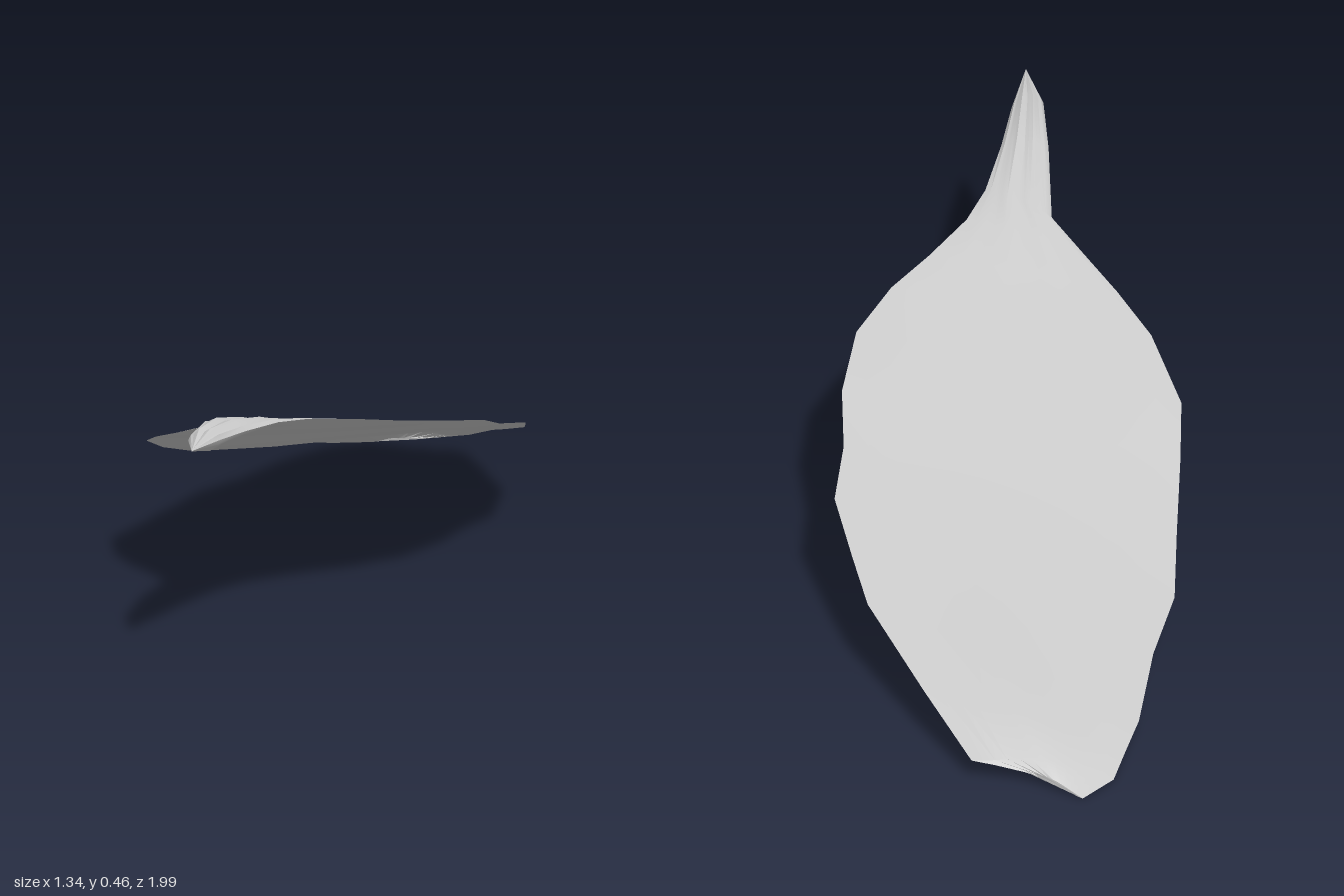
import * as THREE from 'three';
import { toCreasedNormals } from 'three/addons/utils/BufferGeometryUtils.js';

// Cross-sections from stalk to tip: [left edge x, y, z], [right edge x, y, z], thickness, midrib lift
const SECTIONS = [
  [[-0.67, 0.445, 0.99], [-0.668, 0.445, 0.99], 0.002, 0],
  [[-0.625, 0.44, 0.86], [-0.56, 0.44, 0.88], 0.05, 0],
  [[-0.53, 0.435, 0.7], [-0.46, 0.43, 0.77], 0.042, 0],
  [[-0.41, 0.395, 0.51], [-0.34, 0.417, 0.65], 0.026, 0],
  [[-0.41, 0.365, 0.4], [-0.25, 0.405, 0.585], 0.016, 0],
  [[-0.41, 0.33, 0.27], [-0.12, 0.385, 0.53], 0.01, 0],
  [[-0.4, 0.295, 0.13], [0, 0.365, 0.49], 0.008, 0],
  [[-0.34, 0.245, -0.07], [0.14, 0.34, 0.41], 0.008, 0],
  [[-0.25, 0.2, -0.2], [0.27, 0.305, 0.27], 0.008, 0],
  [[-0.12, 0.15, -0.38], [0.36, 0.265, 0.13], 0.008, 0],
  [[0, 0.11, -0.55], [0.47, 0.235, 0], 0.008, 0.003],
  [[0.14, 0.08, -0.68], [0.54, 0.195, -0.17], 0.008, 0.008],
  [[0.29, 0.045, -0.85], [0.59, 0.16, -0.3], 0.008, 0.014],
  [[0.37, 0.03, -0.92], [0.64, 0.1, -0.58], 0.008, 0.02],
  [[0.44, 0.012, -0.98], [0.67, 0.045, -0.8], 0.008, 0.022],
  [[0.53, 0.004, -1], [0.59, 0.03, -0.87], 0.006, 0.008],
];
const ACROSS = 12;

// Closed ring round one section: upper skin left to right, lower skin back again
function ring([left, right, thickness, lift]) {
  const l = new THREE.Vector3(...left), r = new THREE.Vector3(...right);
  const points = [];
  for (let j = 0; j < 2 * ACROSS; j++) {
    const upper = j <= ACROSS;
    const v = (upper ? j : 2 * ACROSS - j) / ACROSS;
    const p = l.clone().lerp(r, v);
    const arch = Math.sin(Math.PI * v);
    // the thick stalk is pleated, the blade is smooth
    const pleat = thickness > 0.012 ? 0.85 + 0.15 * Math.cos(v * Math.PI * 6) : 1;
    p.y += lift * arch * arch + (upper ? 1 : -1) * thickness / 2 * Math.sqrt(Math.max(arch, 0)) * pleat;
    points.push(p);
  }
  return points;
}

function loft(rings) {
  const n = rings[0].length;
  const positions = rings.flat().flatMap((p) => p.toArray());
  const index = [];
  for (let i = 0; i < rings.length - 1; i++) {
    for (let j = 0; j < n; j++) {
      const k = (j + 1) % n;
      const a = i * n + j, b = i * n + k, c = b + n, d = a + n;
      index.push(a, b, d, b, c, d);
    }
  }
  // close the tip
  const last = (rings.length - 1) * n;
  for (let j = 1; j < n - 1; j++) index.push(last, last + j, last + j + 1);
  const geometry = new THREE.BufferGeometry();
  geometry.setAttribute('position', new THREE.Float32BufferAttribute(positions, 3));
  geometry.setIndex(index);
  return toCreasedNormals(geometry, Math.PI / 5);
}

export function createModel() {
  const group = new THREE.Group();
  group.name = 'leaf';
  const material = new THREE.MeshStandardMaterial({ color: 0xcccccc, side: THREE.DoubleSide });
  // stalk and blade flow into each other as one skin
  const leaf = new THREE.Mesh(loft(SECTIONS.map(ring)), material);
  leaf.name = 'stalkAndBlade';
  group.add(leaf);
  return group;
}
